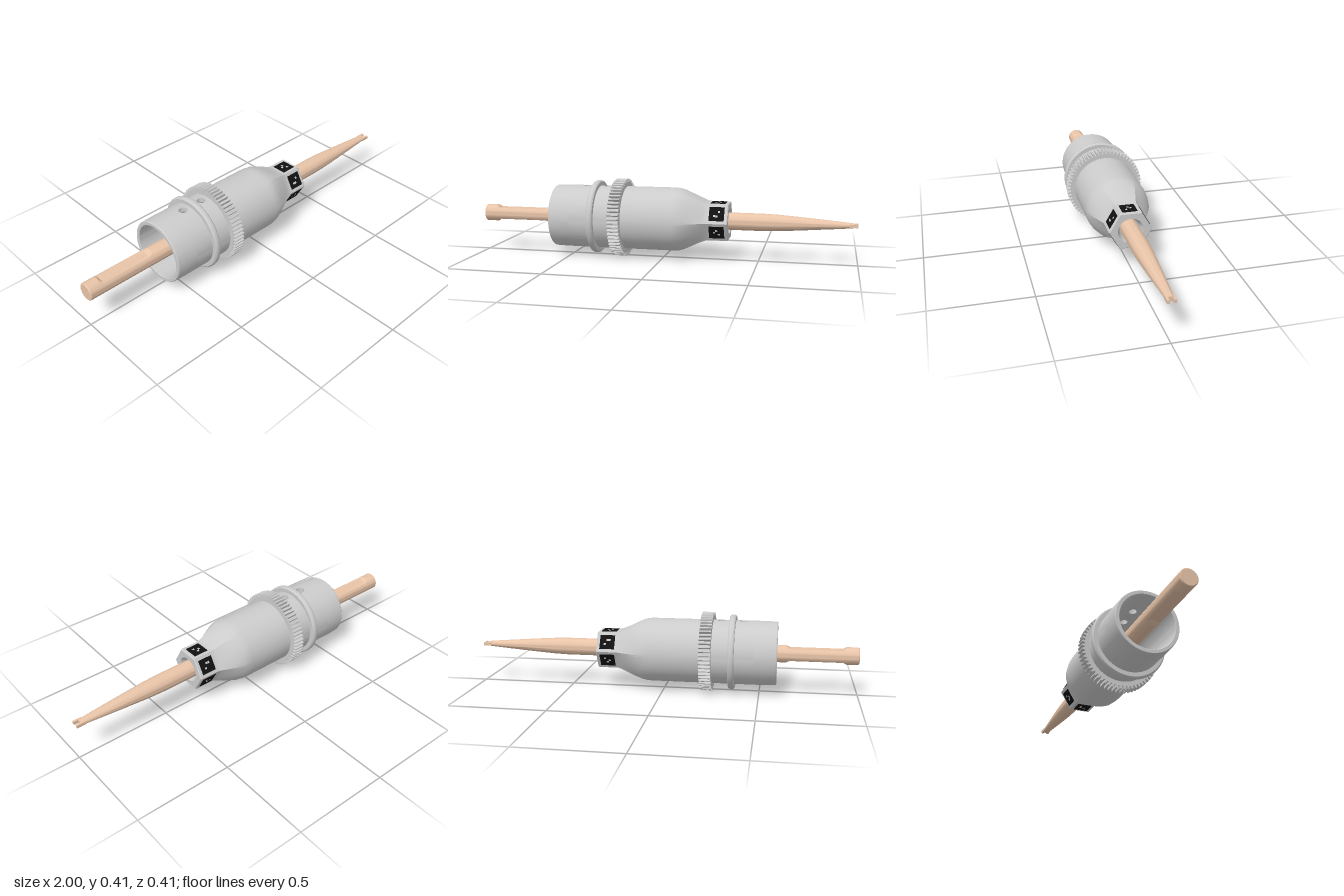
import * as THREE from 'three';
import { mergeGeometries, toCreasedNormals } from 'three/addons/utils/BufferGeometryUtils.js';

const AXIS_Y = 0.205;        // height of the long axis
const R = 0.166, RI = 0.142; // sleeve outer and inner radius
const TAU = Math.PI * 2;

const grey = new THREE.MeshStandardMaterial({ color: 0xcccccc });
const wood = new THREE.MeshStandardMaterial({ color: 0xe8c4a8 });
const black = new THREE.MeshStandardMaterial({ color: 0x111111 });

// Quad surface from a rule giving [x, y, z] for row i, column j
function grid(rows, cols, rule) {
  const pos = [], idx = [];
  for (let i = 0; i <= rows; i++) for (let j = 0; j <= cols; j++) pos.push(...rule(i, j));
  for (let i = 0; i < rows; i++) for (let j = 0; j < cols; j++) {
    const a = i * (cols + 1) + j, b = a + 1, c = a + cols + 1, d = c + 1;
    idx.push(a, b, c, b, d, c);
  }
  const g = new THREE.BufferGeometry();
  g.setAttribute('position', new THREE.Float32BufferAttribute(pos, 3));
  g.setIndex(idx);
  return g;
}

// Loft along x through sections [x, radius, hexagon share]; may leave out a sector at the top
function loft(sections, gap = 0, cols = 96) {
  return grid(sections.length - 1, cols, (i, j) => {
    const [x, r, hex = 0] = sections[i];
    const t = gap + (TAU - 2 * gap) * j / cols;
    const off = ((t + Math.PI / 6) % (Math.PI / 3)) - Math.PI / 6;
    const rr = r * (1 - hex + hex / Math.cos(off));
    return [x, rr * Math.cos(t), rr * Math.sin(t)];
  });
}

// Square piece of the sleeve wall with a round hole through it
function holePatch(cx, half, hole) {
  const rows = [[RI, 1], [RI, 0.5], [RI, 0], [R, 0], [R, 0.5], [R, 1]];
  return grid(rows.length - 1, 48, (i, j) => {
    const [rad, v] = rows[i], p = TAU * j / 48;
    const c = Math.cos(p), s = Math.sin(p);
    const d = THREE.MathUtils.lerp(hole, half / Math.max(Math.abs(c), Math.abs(s)), v);
    const t = d * s / R;
    return [cx + d * c, rad * Math.cos(t), rad * Math.sin(t)];
  });
}

function addMesh(parent, name, geometry, material) {
  const m = new THREE.Mesh(geometry, material);
  m.name = name;
  parent.add(m);
  return m;
}

export function createModel() {
  const model = new THREE.Group();
  model.name = 'model';
  const body = new THREE.Group();
  body.name = 'instrument';
  body.position.y = AXIS_Y;
  model.add(body);

  // Hollow sleeve: open back end, pierced middle, nose blending into a hexagon
  const half = 0.0575, gap = half / R, x0 = -0.4725, x1 = -0.2425;
  const parts = [
    loft([[x0, RI], [-0.585, RI], [-0.588, RI + 0.003], [-0.588, R - 0.005], [-0.583, R - 0.002], [-0.53, R], [x0, R]]),
    loft([[x0, R], [x1, R]], gap),
    loft([[x1, RI], [x0, RI]], gap),
    holePatch(x0 + half, half, 0.022),
    holePatch(x1 - half, half, 0.022),
    loft([
      [x1, R], [0.06, R], [0.085, 0.164, 0.05], [0.11, 0.157, 0.2], [0.15, 0.138, 0.45],
      [0.19, 0.117, 0.7], [0.22, 0.102, 0.9], [0.235, 0.096, 1], [0.245, 0.095, 1],
      [0.343, 0.095, 1], [0.348, 0.091, 1], [0.348, 0.065], [0.315, 0.05],
      [0.24, 0.05], [0.08, RI], [x1, RI],
    ]),
  ];
  addMesh(body, 'sleeve', toCreasedNormals(mergeGeometries(parts), 0.45), grey);

  // Plain collar
  addMesh(body, 'collar', toCreasedNormals(loft([
    [-0.374, R - 0.004], [-0.374, 0.187], [-0.37, 0.192], [-0.364, 0.194],
    [-0.352, 0.194], [-0.346, 0.192], [-0.342, 0.187], [-0.342, R - 0.004],
  ]), 0.6), grey);

  // Toothed ring
  const teeth = 60, outline = [];
  for (let k = 0; k < teeth; k++) {
    for (const [f, r] of [[-0.34, 0.189], [-0.2, 0.203], [-0.12, 0.205], [0.12, 0.205], [0.2, 0.203], [0.34, 0.189]]) {
      const a = (k + f) * TAU / teeth;
      outline.push(new THREE.Vector2(r * Math.sin(a), r * Math.cos(a)));
    }
  }
  const gear = new THREE.Shape(outline);
  gear.holes.push(new THREE.Path().absarc(0, 0, R - 0.004, 0, TAU));
  const gearGeo = new THREE.ExtrudeGeometry(gear, { depth: 0.06, bevelEnabled: false, curveSegments: 48 });
  gearGeo.rotateY(Math.PI / 2).translate(-0.258, 0, 0);
  addMesh(body, 'toothedRing', gearGeo, grey);

  // Dark square tags with pale cells on the six flats
  const cells = [[-1, 0], [0, 1], [1, 1], [1, -1], [0, -1], [-1, 1]];
  for (let k = 0; k < 6; k++) {
    const tag = new THREE.Group();
    tag.name = 'tag';
    tag.rotation.x = k * Math.PI / 3;
    body.add(tag);
    addMesh(tag, 'tagPlate', new THREE.BoxGeometry(0.078, 0.003, 0.076), black).position.set(0.291, 0.0955, 0);
    for (let n = 0; n < 3; n++) {
      const [u, v] = cells[(k + n * 2) % 6];
      addMesh(tag, 'tagCell', new THREE.BoxGeometry(0.011, 0.002, 0.011), grey)
        .position.set(0.291 + u * 0.012, 0.0965, v * 0.012);
    }
  }

  // Rod: [x, half height, half width, flat limit]; flats near the back, flattened taper in front
  const rod = [
    [-1, 0, 0, 1], [-1, 0.041, 0.041, 1], [-0.996, 0.045, 0.045, 1], [-0.935, 0.045, 0.045, 1],
    [-0.918, 0.045, 0.045, 0.03], [-0.655, 0.045, 0.045, 0.03], [-0.635, 0.045, 0.045, 1],
    [0.3, 0.045, 0.045, 1], [0.52, 0.045, 0.045, 1], [0.6, 0.042, 0.043, 1], [0.7, 0.035, 0.037, 1],
    [0.8, 0.027, 0.031, 1], [0.9, 0.019, 0.024, 1], [0.955, 0.014, 0.02, 1], [0.972, 0.012, 0.02, 1], [0.972, 0, 0, 1],
  ];
  const rodGeo = grid(rod.length - 1, 64, (i, j) => {
    const [x, h, w, flat] = rod[i], t = TAU * j / 64;
    return [x, THREE.MathUtils.clamp(h * Math.cos(t), -flat, flat), w * Math.sin(t)];
  });
  addMesh(body, 'rod', toCreasedNormals(rodGeo, 0.45), wood);

  // Forked tip
  for (const s of [-1, 1]) {
    addMesh(body, 'tipProng', new THREE.BoxGeometry(0.045, 0.016, 0.012), wood).position.set(0.9725, 0, s * 0.016);
  }
  return model;
}
